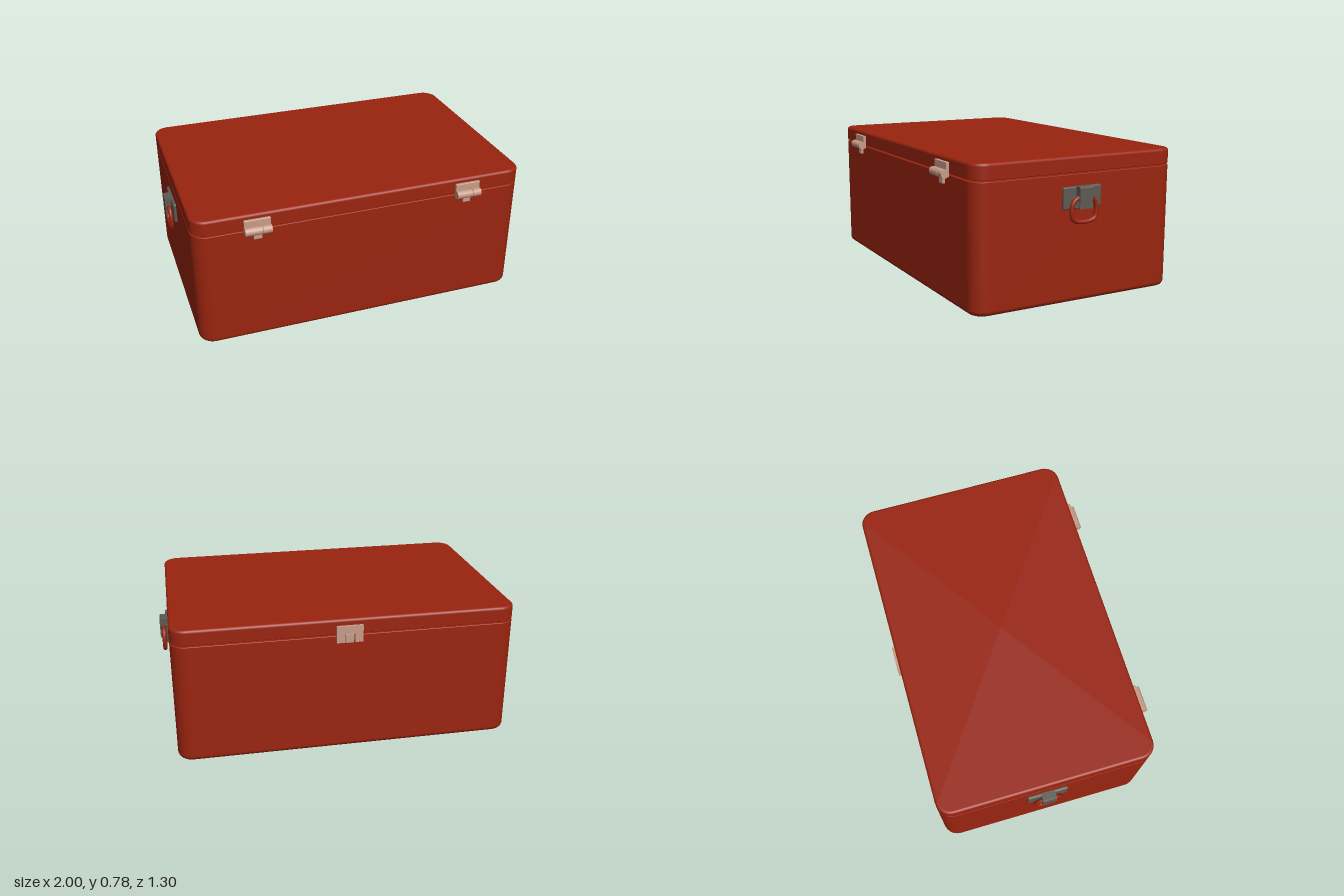
import * as THREE from 'three';
import { RoundedBoxGeometry } from 'three/addons/geometries/RoundedBoxGeometry.js';
import { toCreasedNormals } from 'three/addons/utils/BufferGeometryUtils.js';

const HALF_X = 0.95, HALF_Z = 0.6175, CENTRE_Z = -0.0175, CORNER = 0.085;

// Rounded-rectangle loft. Each section is [y, inset, normal tilt (0 = side, PI/2 = up), scale]
function loft(sections) {
  const pos = [], nor = [], idx = [], steps = 7, n = 4 * (steps + 1);
  for (const [y, inset, tilt, scale = 1] of sections) {
    const r = Math.max(CORNER - inset, 0.01);
    for (let c = 0; c < 4; c++) {
      const sx = c === 0 || c === 3 ? 1 : -1, sz = c < 2 ? 1 : -1;
      for (let s = 0; s <= steps; s++) {
        const a = (c + s / steps) * Math.PI / 2;
        const x = sx * (HALF_X - inset - r) + r * Math.cos(a);
        const z = sz * (HALF_Z - inset - r) + r * Math.sin(a);
        pos.push(x * scale, y, z * scale);
        nor.push(Math.cos(a) * Math.cos(tilt), Math.sin(tilt), Math.sin(a) * Math.cos(tilt));
      }
    }
  }
  for (let k = 0; k < sections.length - 1; k++) {
    for (let i = 0; i < n; i++) {
      const a = k * n + i, b = k * n + (i + 1) % n;
      idx.push(a, a + n, b, b, a + n, b + n);
    }
  }
  const g = new THREE.BufferGeometry();
  g.setAttribute('position', new THREE.Float32BufferAttribute(pos, 3));
  g.setAttribute('normal', new THREE.Float32BufferAttribute(nor, 3));
  g.setIndex(idx);
  return g;
}

// Closed box whose bottom and top edges are rounded by rb and rt
function roundedCase(y0, y1, rb, rt) {
  const q = Math.PI / 2, s = [[y0, rb, -q, 0]], steps = 5;
  for (let i = 0; i <= steps; i++) {
    const t = q * (1 - i / steps);
    s.push([y0 + rb * (1 - Math.sin(t)), rb * (1 - Math.cos(t)), -t]);
  }
  for (let i = 0; i <= steps; i++) {
    const t = q * i / steps;
    s.push([y1 - rt * (1 - Math.sin(t)), rt * (1 - Math.cos(t)), t]);
  }
  s.push([y1, rt, q, 0]);
  return loft(s);
}

export function createModel() {
  const red = new THREE.MeshStandardMaterial({ color: 0x9a240f });
  red.name = 'red paint';
  const tan = new THREE.MeshStandardMaterial({ color: 0xc89c88 });
  tan.name = 'pale copper';
  const grey = new THREE.MeshStandardMaterial({ color: 0x5c5a52 });
  grey.name = 'grey metal';

  const model = new THREE.Group();
  model.name = 'storageChest';

  function add(parent, name, geometry, material, x = 0, y = 0, z = 0) {
    const m = new THREE.Mesh(geometry, material);
    m.name = name;
    m.position.set(x, y, z);
    parent.add(m);
    return m;
  }
  function box(parent, name, material, w, h, d, x, y, z, r = 0.004) {
    return add(parent, name, new RoundedBoxGeometry(w, h, d, 2, r), material, x, y, z);
  }
  function group(name, x, y, z) {
    const g = new THREE.Group();
    g.name = name;
    g.position.set(x, y, z);
    model.add(g);
    return g;
  }

  // Body and lid, joined by an inset rim across the seam
  add(model, 'body', roundedCase(0, 0.687, 0.03, 0.004), red, 0, 0, CENTRE_Z);
  add(model, 'lid', roundedCase(0.694, 0.78, 0.004, 0.016), red, 0, 0, CENTRE_Z);
  add(model, 'rim', loft([[0.67, 0.06, 0], [0.71, 0.06, 0]]), red, 0, 0, CENTRE_Z);

  // Front catches: plate, split barrel and lower tab
  for (const side of [-1, 1]) {
    const g = group(side > 0 ? 'leftCatch' : 'rightCatch', side * 0.605 - 0.0025, 0, 0.6);
    box(g, 'plate', tan, 0.145, 0.08, 0.018, 0, 0.715, 0.008);
    box(g, 'tab', tan, 0.046, 0.06, 0.016, 0, 0.665, 0.007);
    for (const [w, x] of [[0.094, -0.0255], [0.049, 0.048]]) {
      const barrel = add(g, 'barrel', new THREE.CylinderGeometry(0.023, 0.023, w, 20), tan, x, 0.694, 0.024);
      barrel.rotation.z = Math.PI / 2;
    }
  }

  // Back clasp: notched plate with a tongue in the notch
  const clasp = group('backClasp', -0.0025, 0, -0.635);
  const notch = new THREE.Shape([
    [-0.0725, 0.65], [-0.027, 0.65], [-0.027, 0.7], [0.027, 0.7], [0.027, 0.65],
    [0.0725, 0.65], [0.0725, 0.745], [-0.0725, 0.745],
  ].map(p => new THREE.Vector2(...p)));
  add(clasp, 'plate', new THREE.ExtrudeGeometry(notch, { depth: 0.018, bevelEnabled: false }), tan, 0, 0, -0.015);
  box(clasp, 'tongue', tan, 0.046, 0.055, 0.014, 0, 0.672, -0.004);

  // Side handles: mounting plate, hooked bracket and hanging ring
  const hook = new THREE.Shape();
  hook.moveTo(0, 0.51);
  hook.lineTo(0.016, 0.51);
  hook.lineTo(0.016, 0.572);
  hook.absarc(0.029, 0.572, 0.013, Math.PI, 0, true);
  hook.lineTo(0.042, 0.51);
  hook.lineTo(0.05, 0.51);
  hook.lineTo(0.05, 0.619);
  hook.lineTo(0.044, 0.625);
  hook.lineTo(0, 0.625);
  const hookGeo = toCreasedNormals(
    new THREE.ExtrudeGeometry(hook, { depth: 0.08, bevelEnabled: false, curveSegments: 12 }), 0.6);
  hookGeo.translate(0, 0, -0.04);

  const half = [[0.042, 0.563], [0.068, 0.54], [0.076, 0.5], [0.067, 0.457], [0.04, 0.442]];
  const loop = [...half, ...half.map(([z, y]) => [-z, y]).reverse()];
  const ringPath = new THREE.CatmullRomCurve3(
    loop.map(([z, y]) => new THREE.Vector3(0.029, y, z)), true, 'centripetal');
  const ringGeo = new THREE.TubeGeometry(ringPath, 72, 0.012, 12, true);

  for (const side of [-1, 1]) {
    const g = group(side > 0 ? 'leftHandle' : 'rightHandle', side * HALF_X, 0, -0.0225);
    g.rotation.y = side > 0 ? 0 : Math.PI;
    box(g, 'mountingPlate', grey, 0.024, 0.12, 0.235, 0.004, 0.565, 0, 0.01);
    add(g, 'bracket', hookGeo, grey);
    add(g, 'ring', ringGeo, red);
  }
  return model;
}
